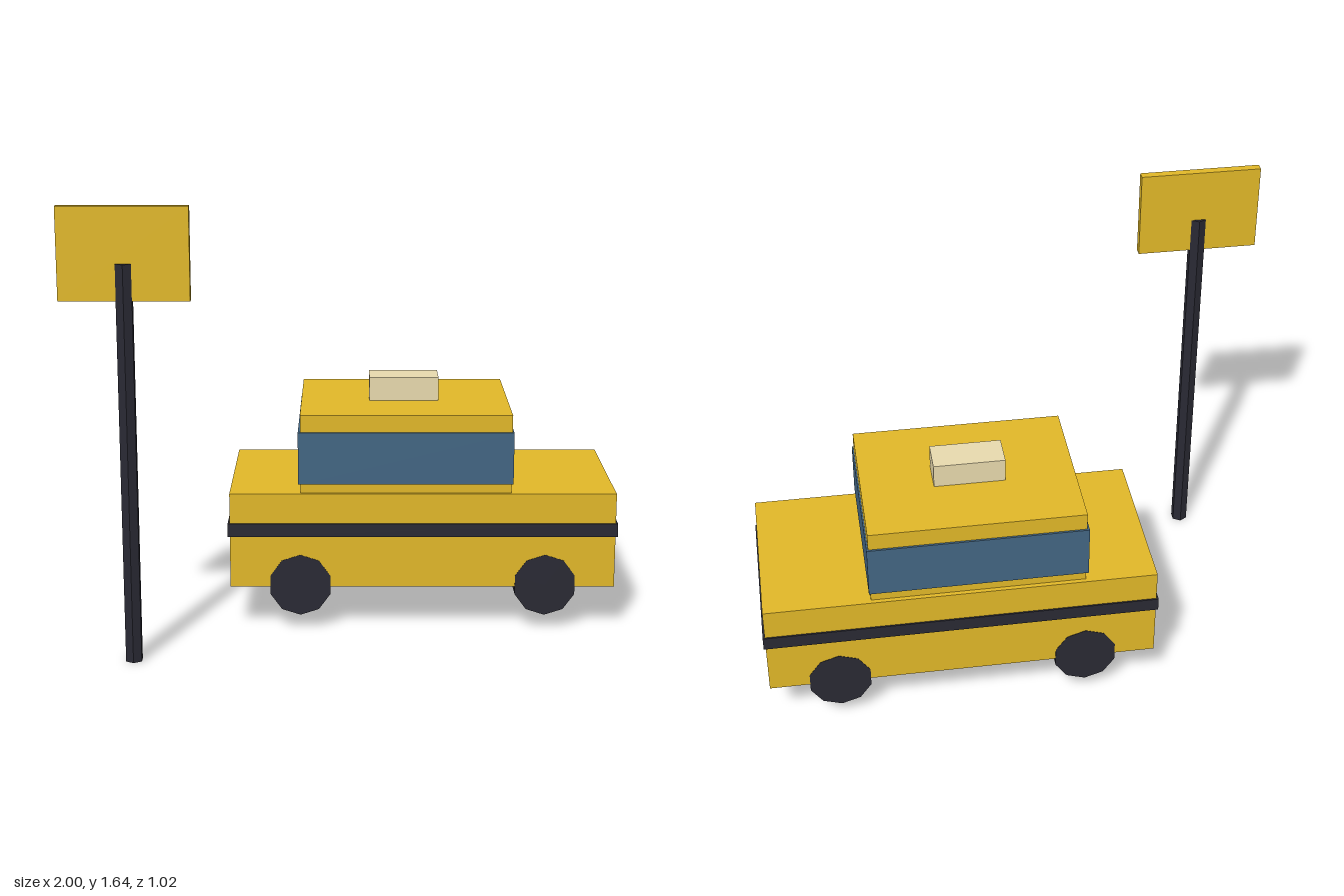
import * as THREE from 'three';

const material = (name, color) => {
  const m = new THREE.MeshStandardMaterial({ color, flatShading: true });
  m.name = name;
  return m;
};

export function createModel() {
  const yellow = material('taxi yellow', 0xe0b728);
  const dark = material('dark rubber', 0x292933);
  const blue = material('window blue', 0x426582);
  const cream = material('lamp cream', 0xf4e5b7);

  const model = new THREE.Group();
  model.name = 'taxiAndStopSign';

  const add = (parent, name, geometry, mat, x, y, z) => {
    const mesh = new THREE.Mesh(geometry, mat);
    mesh.name = name;
    mesh.position.set(x, y, z);
    parent.add(mesh);
    return mesh;
  };

  // Taxi: stacked boxes sharing one centre line
  const taxi = new THREE.Group();
  taxi.name = 'taxi';
  taxi.position.z = -0.177;
  model.add(taxi);
  const box = (name, mat, w, h, d, x, y) =>
    add(taxi, name, new THREE.BoxGeometry(w, h, d), mat, x, y, 0);

  box('body', yellow, 1.435, 0.36, 0.654, 0.272, 0.345);
  box('bodyStripe', dark, 1.45, 0.05, 0.666, 0.272, 0.387);
  box('cabin', yellow, 0.784, 0.295, 0.62, 0.209, 0.6725);
  box('windowBand', blue, 0.798, 0.197, 0.635, 0.208, 0.657);
  box('roofLamp', cream, 0.262, 0.091, 0.127, 0.206, 0.864);

  // Wheels: ten-sided, faces level with the body sides
  const wheelGeometry = new THREE.CylinderGeometry(0.1175, 0.1175, 0.103, 10);
  wheelGeometry.rotateX(Math.PI / 2);
  for (const [end, x] of [['front', 0.73], ['rear', -0.184]]) {
    for (const [side, s] of [['Near', 1], ['Far', -1]]) {
      add(taxi, `${end}${side}Wheel`, wheelGeometry, dark, x, 0.172, s * 0.277);
    }
  }

  // Roadside sign: hexagonal pole through a plain board
  const sign = new THREE.Group();
  sign.name = 'roadSign';
  sign.position.set(-0.773, 0, 0.477);
  model.add(sign);
  add(sign, 'signPole', new THREE.CylinderGeometry(0.0325, 0.0325, 1.438, 6), dark, 0, 0.719, 0);
  add(sign, 'signBoard', new THREE.BoxGeometry(0.455, 0.327, 0.033), yellow, 0, 1.473, 0);

  return model;
}
